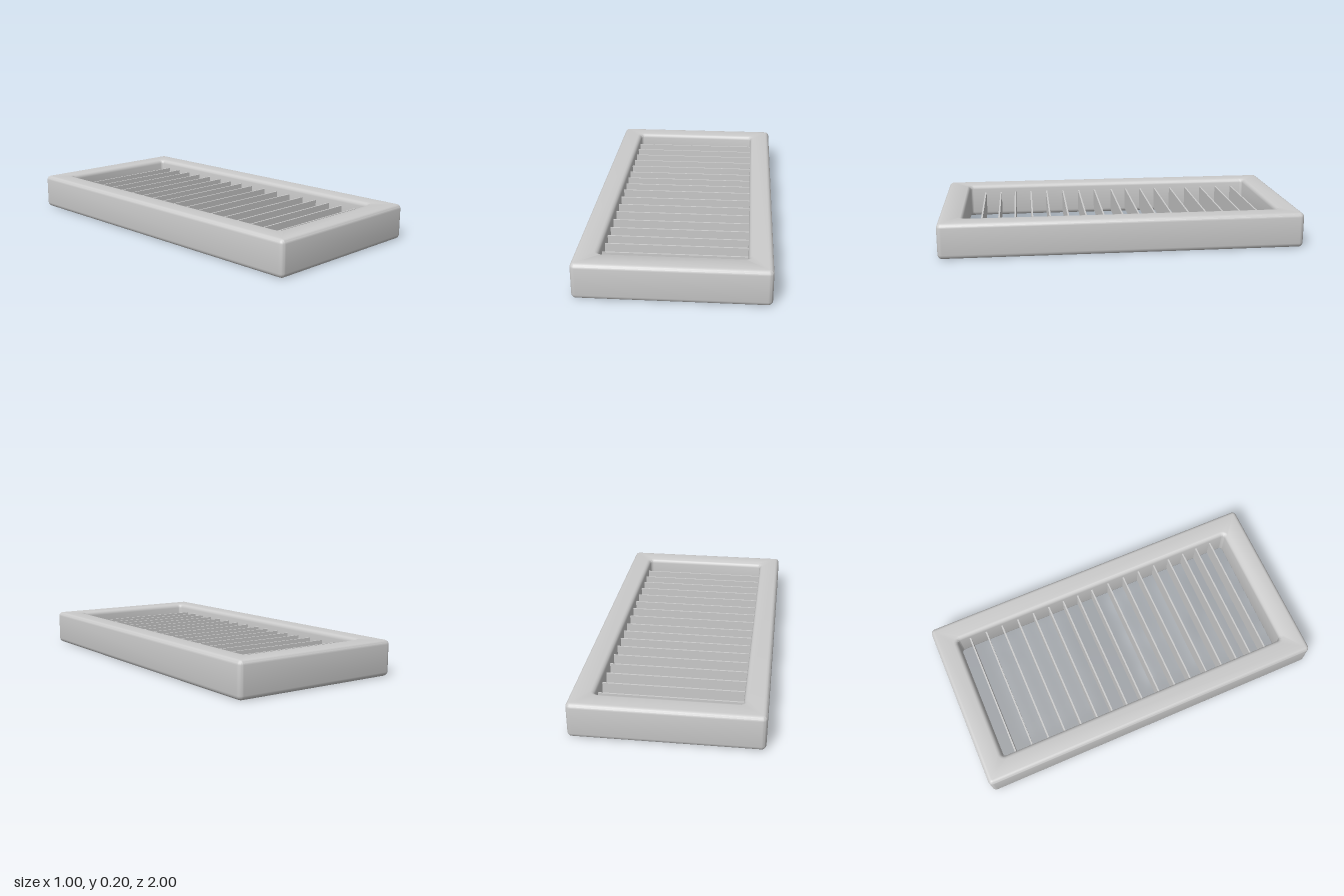
import * as THREE from 'three';
import { toCreasedNormals } from 'three/addons/utils/BufferGeometryUtils.js';

const HEIGHT = 0.195;
const BEVEL = 0.024;

// Rounded rectangle outline between two corners
function roundedRect(path, x0, y0, x1, y1, r) {
  path.moveTo(x0 + r, y0);
  path.lineTo(x1 - r, y0);
  path.absarc(x1 - r, y0 + r, r, -Math.PI / 2, 0);
  path.lineTo(x1, y1 - r);
  path.absarc(x1 - r, y1 - r, r, 0, Math.PI / 2);
  path.lineTo(x0 + r, y1);
  path.absarc(x0 + r, y1 - r, r, Math.PI / 2, Math.PI);
  path.lineTo(x0, y0 + r);
  path.absarc(x0 + r, y0 + r, r, Math.PI, Math.PI * 1.5);
  return path;
}

export function createModel() {
  const group = new THREE.Group();
  group.name = 'ventGrille';
  const material = new THREE.MeshStandardMaterial({ color: 0xcccccc });

  // Outer frame with softly rounded edges and a rectangular opening
  const outline = roundedRect(new THREE.Shape(), -0.5, -1, 0.5, 1, 0.026);
  outline.holes.push(roundedRect(new THREE.Path(), -0.375, -0.866, 0.375, 0.875, 0.02));
  const frameGeometry = new THREE.ExtrudeGeometry(outline, {
    depth: HEIGHT - 2 * BEVEL,
    bevelThickness: BEVEL,
    bevelSize: BEVEL,
    bevelOffset: -BEVEL,
    bevelSegments: 4,
    curveSegments: 4,
  });
  frameGeometry.translate(0, 0, BEVEL);
  frameGeometry.rotateX(-Math.PI / 2);
  const frame = new THREE.Mesh(toCreasedNormals(frameGeometry, 0.6), material);
  frame.name = 'frame';
  group.add(frame);

  // Thin upright slats across the opening, ends buried in the frame
  const slats = new THREE.Group();
  slats.name = 'slats';
  const slatGeometry = new THREE.BoxGeometry(0.78, 0.13, 0.009);
  const slatZ = [-0.8, -0.7, -0.6, -0.5, -0.4, -0.3, -0.206, -0.113, -0.02,
    0.087, 0.188, 0.288, 0.391, 0.49, 0.587, 0.677, 0.772];
  for (const z of slatZ) {
    const slat = new THREE.Mesh(slatGeometry, material);
    slat.name = 'slat';
    slat.position.set(0, 0.085, z);
    slats.add(slat);
  }
  group.add(slats);

  return group;
}
